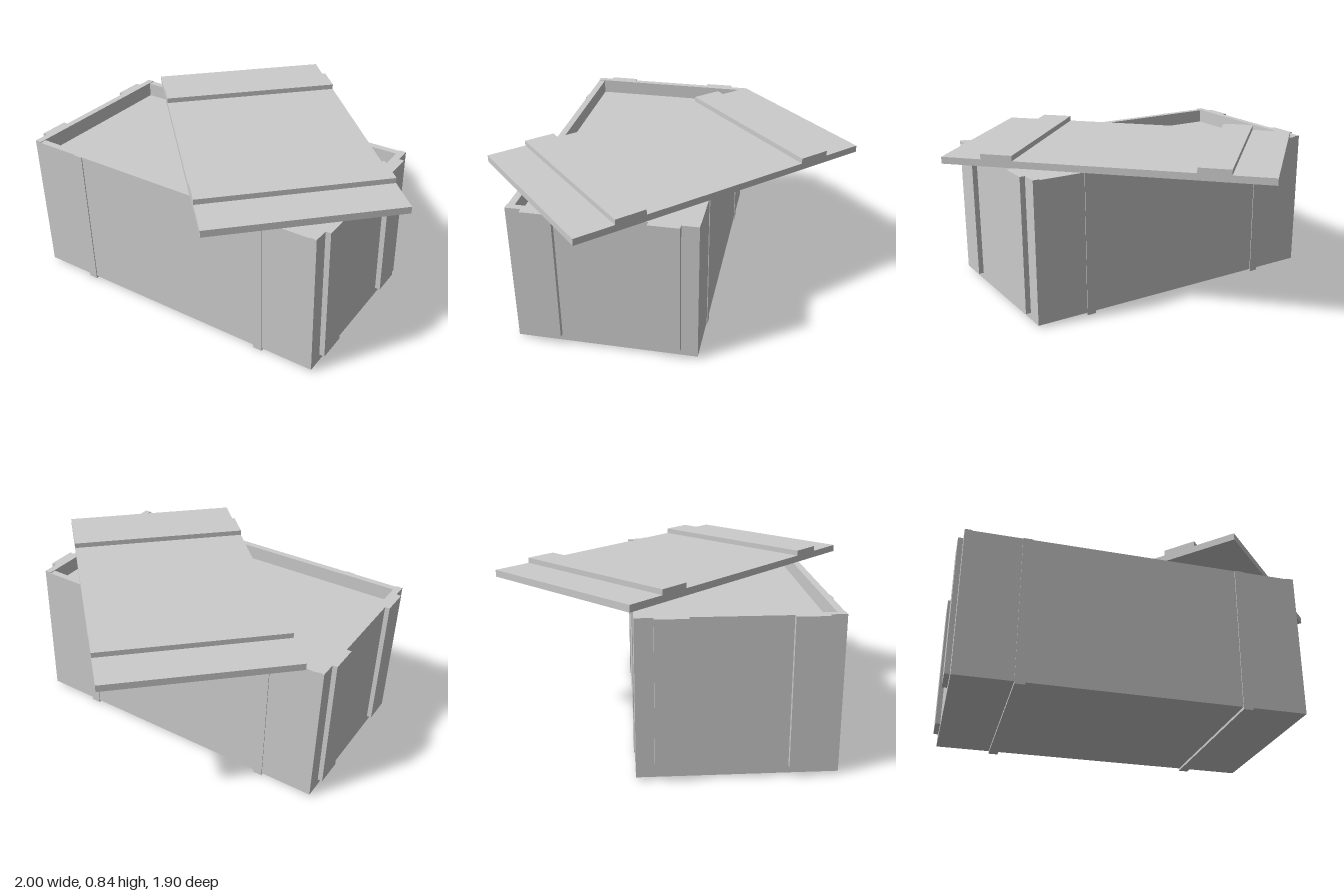
import * as THREE from 'three';

const material = new THREE.MeshStandardMaterial({ color: 0xcccccc, flatShading: true });

// Box given by its minimum and maximum on each axis
function board(name, [x0, x1], [y0, y1], [z0, z1]) {
  const mesh = new THREE.Mesh(new THREE.BoxGeometry(x1 - x0, y1 - y0, z1 - z0), material);
  mesh.position.set((x0 + x1) / 2, (y0 + y1) / 2, (z0 + z1) / 2);
  mesh.name = name;
  return mesh;
}

export function createModel() {
  const model = new THREE.Group();
  model.name = 'crate';

  // Outer limits of the box and board thickness
  const X = [-0.975, 0.737], Z = [-0.255, 0.69], T = 0.036;
  const floorY = 0.013, wallY = 0.05, topY = 0.78;
  const box = new THREE.Group();
  box.name = 'box';
  model.add(box);

  box.add(board('baseBoard', X, [floorY, wallY], Z));

  // End walls run the full depth, long walls sit between them
  const inX = [X[0] + T, X[1] - T], inZ = [Z[0] + T, Z[1] - T];
  box.add(board('rightEndWall', [X[0], inX[0]], [wallY, topY], Z));
  box.add(board('leftEndWall', [inX[1], X[1]], [wallY, topY], Z));
  box.add(board('backWall', inX, [wallY, topY - 0.004], [Z[0], inZ[0]]));
  box.add(board('frontWall', inX, [wallY, topY - 0.004], [inZ[1], Z[1]]));

  // Contents fill the box to just below the rim
  box.add(board('filling', inX, [wallY, 0.7], inZ));

  // Vertical battens on both ends
  for (const z of [-0.09, 0.532]) {
    const span = [z - 0.078, z + 0.078];
    box.add(board('rightEndBatten', [X[0] - 0.025, X[0]], [wallY, topY], span));
    box.add(board('leftEndBatten', [X[1], X[1] + 0.028], [wallY, topY], span));
  }

  // Thin straps under the base and up the long sides
  for (const x of [-0.67, 0.43]) {
    const span = [x - 0.025, x + 0.025];
    box.add(board('baseStrap', span, [0, floorY], [Z[0] - 0.004, Z[1] + 0.005]));
    box.add(board('backStrap', span, [floorY, topY - 0.004], [Z[0] - 0.004, Z[0]]));
    box.add(board('frontStrap', span, [floorY, topY - 0.004], [Z[1], Z[1] + 0.005]));
  }

  // Lid laid askew on the rim, with two cross battens
  const lid = new THREE.Group();
  lid.name = 'lid';
  lid.position.set(0.054, topY, 0);
  lid.rotation.y = -0.799;
  lid.add(board('lidPanel', [-0.851, 0.851], [0, 0.036], [-0.488, 0.488]));
  for (const x of [-0.552, 0.552]) {
    lid.add(board('lidBatten', [x - 0.084, x + 0.084], [0.036, 0.064], [-0.488, 0.488]));
  }
  model.add(lid);

  return model;
}
